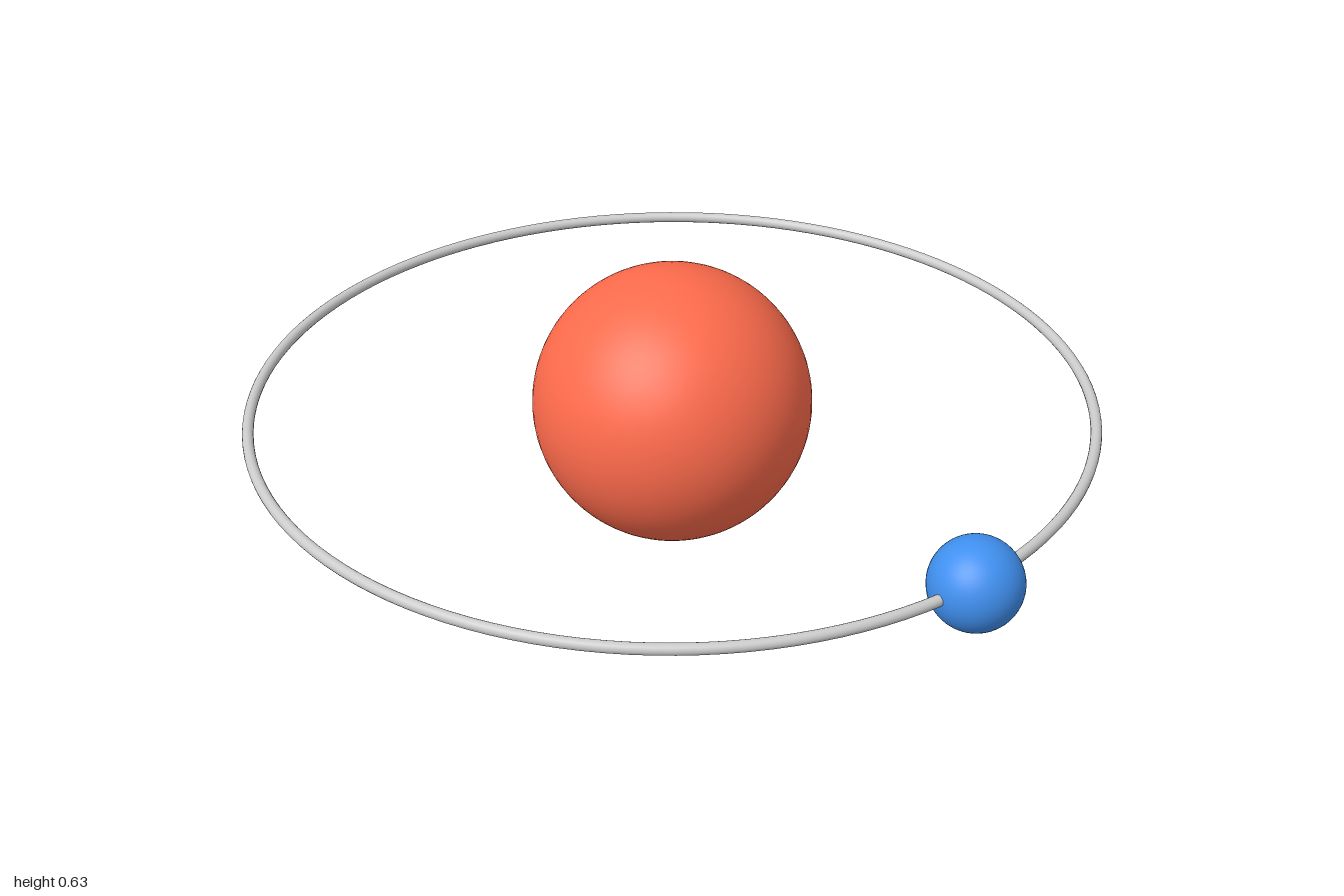
import * as THREE from 'three';

export function createModel() {
  const model = new THREE.Group();
  const centreX = -0.044, centreY = 0.3145, orbitRadius = 0.9434;

  const addPart = (name, geometry, color, x) => {
    const mesh = new THREE.Mesh(geometry, new THREE.MeshStandardMaterial({ color }));
    mesh.name = name;
    mesh.position.set(x, centreY, 0);
    model.add(mesh);
    return mesh;
  };

  // Large central body
  addPart('centralSphere', new THREE.SphereGeometry(0.3145, 64, 48), 0xff6b4c, centreX);

  // Thin flat orbit around it
  addPart('orbitRing', new THREE.TorusGeometry(orbitRadius, 0.0126, 16, 128), 0xcccccc, centreX)
    .rotation.x = Math.PI / 2;

  // Small body threaded on the orbit at the left
  addPart('orbitingSphere', new THREE.SphereGeometry(0.1, 48, 32), 0x4090f0, centreX + orbitRadius);

  return model;
}
